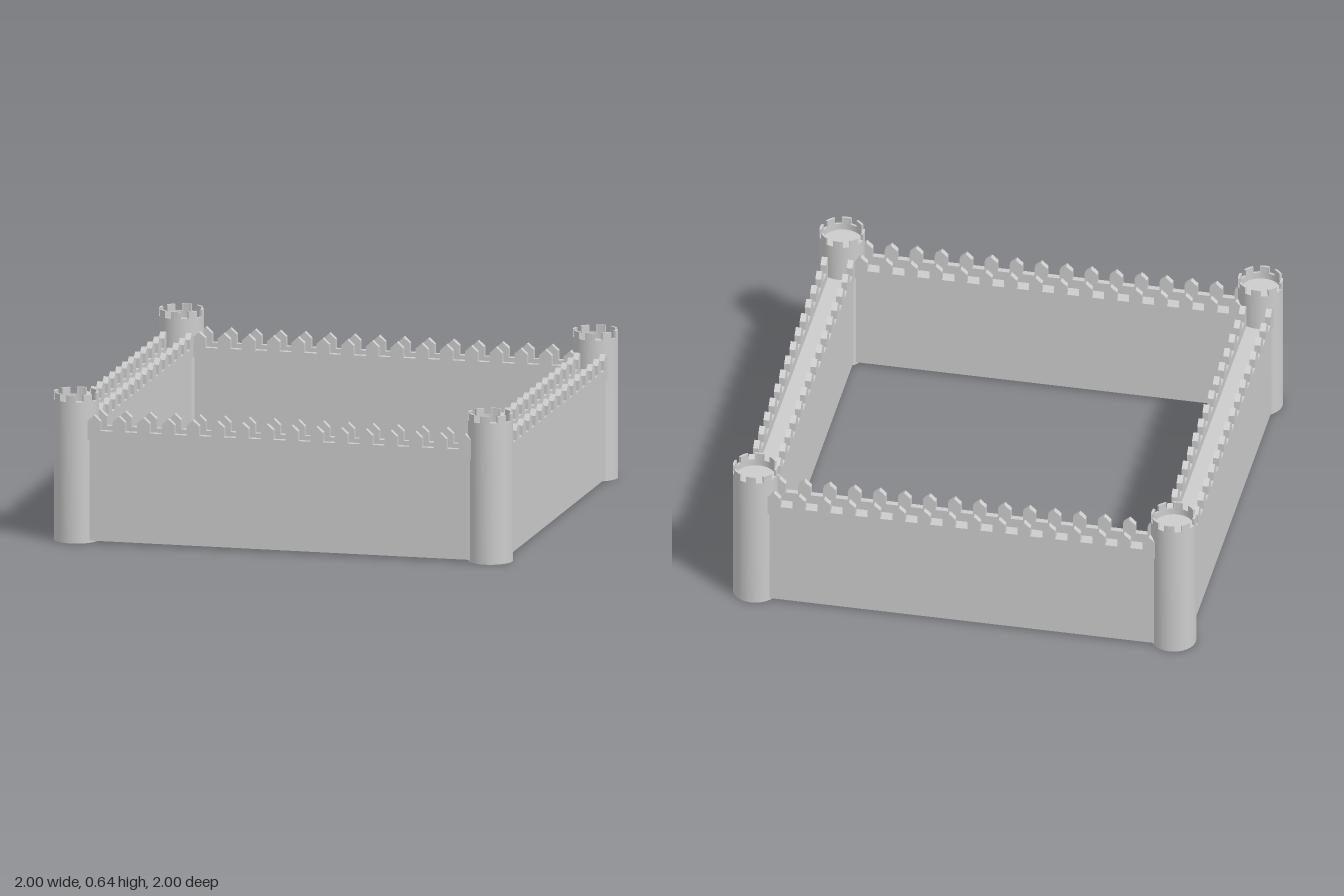
import * as THREE from 'three';
import { toCreasedNormals } from 'three/addons/utils/BufferGeometryUtils.js';

const material = new THREE.MeshStandardMaterial({ color: 0xcccccc });

function addMesh(parent, name, geometry) {
  const mesh = new THREE.Mesh(geometry, material);
  mesh.name = name;
  parent.add(mesh);
  return mesh;
}

const CENTRE = 0.904;      // distance of wall and tower axes from the middle
const HALF_LENGTH = 0.838; // half length of a wall
const DECK = 0.445;        // walkway height

// Strip with a row of pointed merlons along its top
function parapetGeometry(thickness) {
  const count = 16, pitch = 0.108, half = 0.0275;
  const base = 0.487, shoulder = 0.528, tip = 0.553;
  const shape = new THREE.Shape();
  shape.moveTo(-HALF_LENGTH, DECK);
  shape.lineTo(HALF_LENGTH, DECK);
  for (let i = count - 1; i >= 0; i--) {
    const x = (i - (count - 1) / 2) * pitch;
    shape.lineTo(x + half, base);
    shape.lineTo(x + half, shoulder);
    shape.lineTo(x, tip);
    shape.lineTo(x - half, shoulder);
    shape.lineTo(x - half, base);
  }
  shape.closePath();
  const geometry = new THREE.ExtrudeGeometry(shape, { depth: thickness, bevelEnabled: false });
  return geometry.translate(0, 0, -thickness / 2);
}

// Wall body with an overhanging parapet on each edge of the walkway
function createWall() {
  const wall = new THREE.Group();
  wall.name = 'wall';
  const bottom = 0.01;
  addMesh(wall, 'wallBody', new THREE.BoxGeometry(2 * HALF_LENGTH, DECK - bottom, 0.124))
    .position.y = (DECK + bottom) / 2;
  const thickness = 0.025;
  const geometry = parapetGeometry(thickness);
  for (const side of [1, -1]) {
    addMesh(wall, side > 0 ? 'outerParapet' : 'innerParapet', geometry)
      .position.z = side * (0.069 - thickness / 2);
  }
  return wall;
}

// Round tower with a sunken floor and a ring of merlons
function createTower() {
  const tower = new THREE.Group();
  tower.name = 'cornerTower';
  const outer = 0.096, inner = 0.086, rim = 0.61, top = 0.64, floor = 0.58;
  const profile = [[0, 0], [outer, 0], [outer, rim], [inner, rim], [inner, floor], [0, floor]]
    .map(([x, y]) => new THREE.Vector2(x, y));
  addMesh(tower, 'towerBody', toCreasedNormals(new THREE.LatheGeometry(profile, 48), 0.6));

  const count = 8, halfArc = (Math.PI / count) * 0.58;
  const shape = new THREE.Shape();
  shape.absarc(0, 0, outer, -halfArc, halfArc, false);
  shape.absarc(0, 0, inner, halfArc, -halfArc, true);
  shape.closePath();
  const extruded = new THREE.ExtrudeGeometry(shape, {
    depth: top - rim, bevelEnabled: false, curveSegments: 6,
  });
  const merlon = toCreasedNormals(extruded.rotateX(-Math.PI / 2), 0.6);
  for (let i = 0; i < count; i++) {
    const mesh = addMesh(tower, 'towerMerlon', merlon);
    mesh.position.y = rim;
    mesh.rotation.y = (i / count) * Math.PI * 2;
  }
  return tower;
}

export function createModel() {
  const model = new THREE.Group();
  model.name = 'castleWalls';
  // Four identical sides, each with one wall and one corner tower
  for (let i = 0; i < 4; i++) {
    const side = new THREE.Group();
    side.name = ['frontSide', 'leftSide', 'backSide', 'rightSide'][i];
    side.rotation.y = (i * Math.PI) / 2;
    const wall = createWall();
    wall.position.z = CENTRE;
    const tower = createTower();
    tower.position.set(CENTRE, 0, CENTRE);
    side.add(wall, tower);
    model.add(side);
  }
  return model;
}
